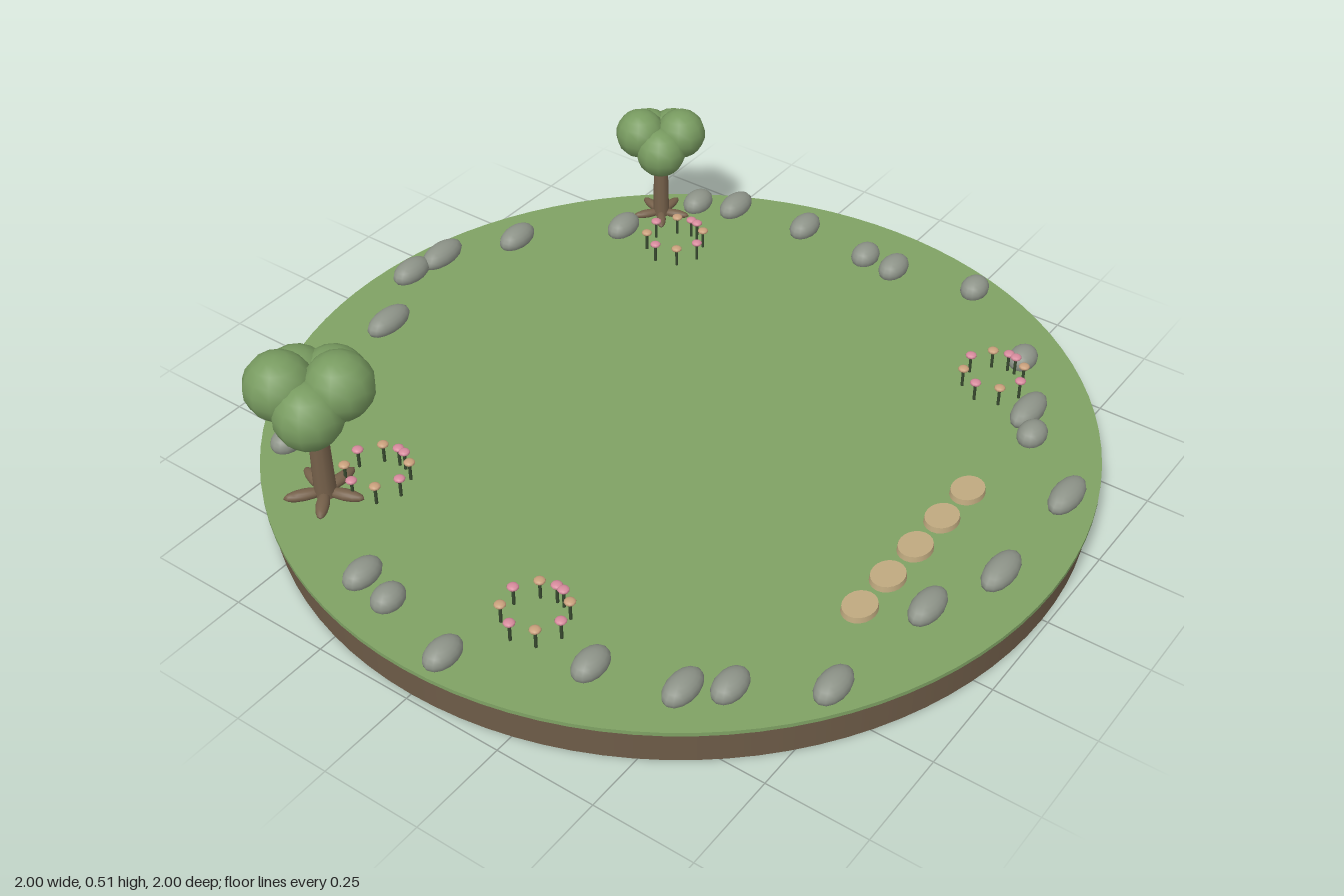
import * as THREE from 'three';

const mat = (name, color) => Object.assign(new THREE.MeshStandardMaterial({ color }), { name });

export function createModel() {
  const M = {
    grass: mat('grass green', 0x7fa264),
    soil: mat('soil brown', 0x6e5c48),
    stone: mat('stone grey', 0x8d9388),
    step: mat('sandy tan', 0xbfa97f),
    bark: mat('bark brown', 0x75604a),
    leaf: mat('leaf green', 0x789b60),
    stem: mat('stem green', 0x38492f),
    pink: mat('petal pink', 0xd68a9c),
    peach: mat('petal peach', 0xc9a07c),
  };
  const root = new THREE.Group();
  root.name = 'gardenIsland';
  const G = 0.098; // ground level

  const add = (parent, name, geo, material, x, y, z) => {
    const m = new THREE.Mesh(geo, material);
    m.name = name;
    m.position.set(x, y, z);
    parent.add(m);
    return m;
  };
  const group = (name, x = 0, y = 0, z = 0) => {
    const g = new THREE.Group();
    g.name = name;
    g.position.set(x, y, z);
    root.add(g);
    return g;
  };

  // Round island: soil slab with a thin, slightly wider lawn
  add(root, 'soilSlab', new THREE.CylinderGeometry(0.987, 0.985, 0.09, 96), M.soil, 0, 0.045, 0);
  add(root, 'lawn', new THREE.CylinderGeometry(1, 1, 0.01, 96), M.grass, 0, G - 0.005, 0);

  // Border stones: x, z, half length
  const stones = [
    [0.08, -0.93, 0.06], [0.185, -0.915, 0.07], [-0.12, -0.83, 0.07], [-0.415, -0.785, 0.07],
    [-0.615, -0.705, 0.045], [0.365, -0.805, 0.06], [0.575, -0.605, 0.055], [0.79, -0.51, 0.05],
    [0.835, -0.415, 0.06], [0.86, -0.205, 0.054], [0.84, 0, 0.045], [0.835, 0.09, 0.052],
    [0.877, 0.31, 0.045], [0.685, 0.555, 0.045], [0.51, 0.665, 0.07], [0.435, 0.715, 0.045],
    [0.285, 0.885, 0.07], [-0.025, 0.885, 0.07], [-0.215, 0.81, 0.064], [-0.53, 0.77, 0.06],
    [-0.655, 0.597, 0.055], [-0.717, 0.52, 0.06], [-0.775, 0.325, 0.054], [-0.932, 0.053, 0.054],
    [-0.875, -0.152, 0.045], [-0.85, -0.25, 0.054],
  ];
  const border = group('borderStones');
  const pebble = new THREE.SphereGeometry(1, 14, 10);
  stones.forEach(([x, z, r]) => add(border, 'borderStone', pebble, M.stone, x, 0.112, z).scale.set(r, 0.032, 0.035));

  // Stepping stones
  const path = group('steppingStones');
  const slab = new THREE.CylinderGeometry(0.046, 0.048, 0.014, 20);
  for (let i = 0; i < 5; i++) {
    add(path, 'steppingStone', slab, M.step, -0.295 + i * 0.1175, G + 0.007, 0.688).scale.z = 0.83;
  }

  // Rings of flowers with alternating petals
  const stemGeo = new THREE.CylinderGeometry(0.004, 0.004, 0.05, 6);
  const headGeo = new THREE.SphereGeometry(0.014, 10, 6);
  const flowerRing = (x, z) => {
    const g = group('flowerRing', x, G, z);
    for (let i = 0; i < 9; i++) {
      const a = i * 0.82, px = 0.075 * Math.cos(a), pz = 0.075 * Math.sin(a);
      add(g, 'flowerStem', stemGeo, M.stem, px, 0.025, pz);
      add(g, 'flowerHead', headGeo, i % 2 ? M.peach : M.pink, px, 0.051, pz).scale.y = 0.5;
    }
  };
  [[-0.735, 0.145], [0.56, 0.54], [0.585, -0.44], [-0.59, -0.44]].forEach(([x, z]) => flowerRing(x, z));

  // Trees: tapered trunk, splayed roots, five leaf clumps at alternating heights
  const blob = new THREE.SphereGeometry(1, 12, 9);
  const tree = (name, x, z, s) => {
    const g = group(name, x, G, z);
    g.scale.setScalar(s);
    add(g, 'trunk', new THREE.CylinderGeometry(0.022, 0.027, 0.27, 10), M.bark, 0, 0.135, 0);
    for (let i = 0; i < 5; i++) {
      const a = i * Math.PI * 2 / 5, c = Math.cos(a), d = Math.sin(a);
      const r = add(g, 'root', blob, M.bark, 0.05 * c, 0.008, 0.05 * d);
      r.scale.set(0.048, 0.014, 0.016);
      r.rotation.y = -a;
      add(g, 'leafClump', blob, M.leaf, 0.07 * c, i % 2 ? 0.332 : 0.288, 0.07 * d).scale.setScalar(0.082);
    }
  };
  tree('largeTree', -0.69, -0.512, 1);
  tree('smallTree', 0.703, -0.572, 0.8);

  return root;
}
